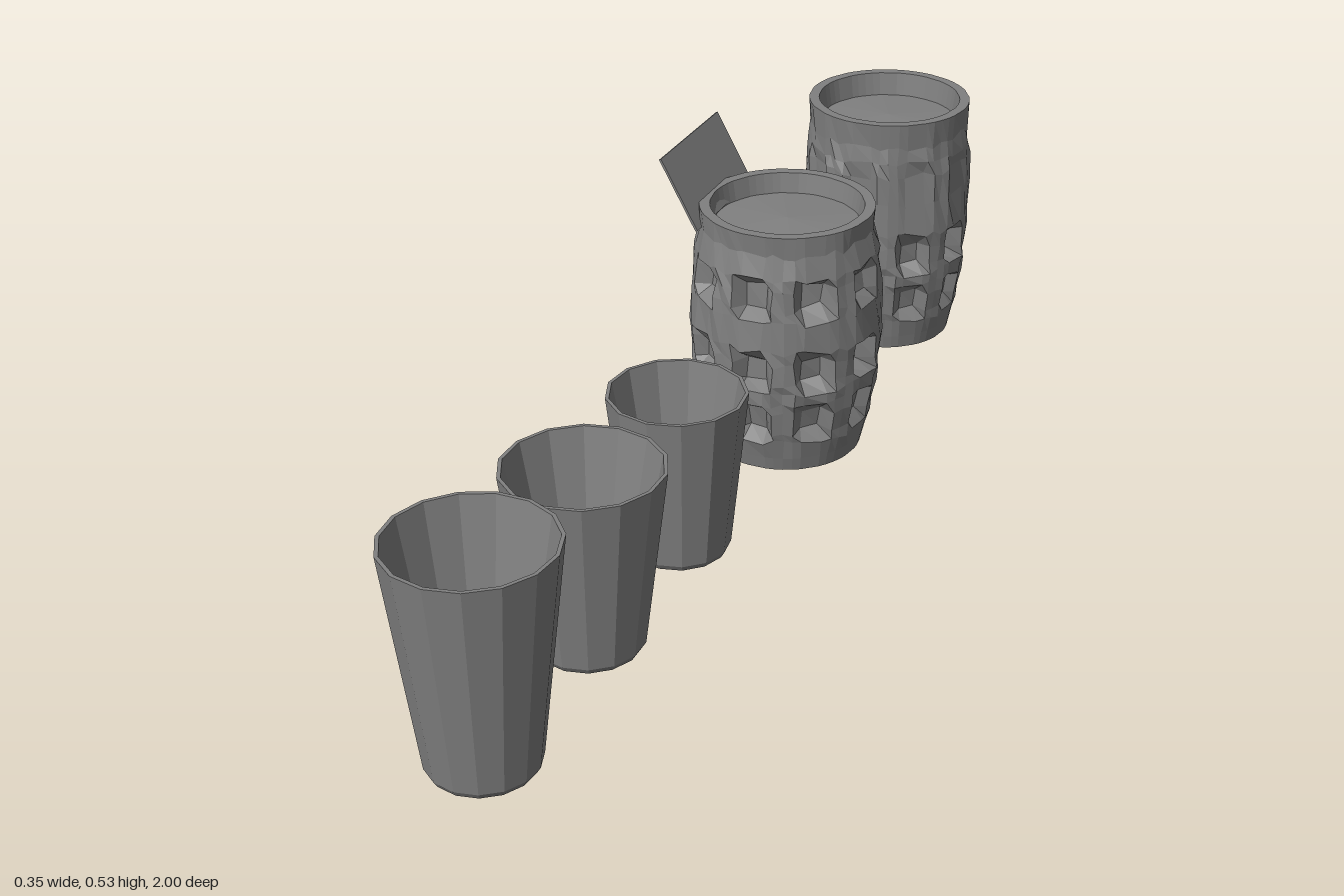
import * as THREE from 'three';

const glass = new THREE.MeshStandardMaterial({ color: 0x808080, flatShading: true });
glass.name = 'grey glass';
const card = new THREE.MeshStandardMaterial({ color: 0x808080, side: THREE.DoubleSide });
card.name = 'grey card';

// Repeatable noise from -0.5 to 0.5
const noise = (i, j) => {
  const s = Math.sin(i * 12.99 + j * 78.23 + 1.7) * 43758.55;
  return s - Math.floor(s) - 0.5;
};

function add(parent, name, geometry, material = glass) {
  const mesh = new THREE.Mesh(geometry, material);
  mesh.name = name;
  parent.add(mesh);
  return mesh;
}

const lathe = (points, sides) =>
  new THREE.LatheGeometry(points.map(([r, y]) => new THREE.Vector2(r, y)), sides);

// Tapered drinking cup with a thin rim and a small inner floor
function cup(name, x, z, height, top, base, sides) {
  const group = new THREE.Group();
  group.name = name;
  group.position.set(x, 0, z);
  const wall = lathe([
    [0, 0], [base * 0.93, 0], [base, 0.01], [top, height],
    [top - 0.006, height], [base * 0.72, 0.025], [0, 0.025],
  ], sides);
  add(group, 'cupWall', wall);
  return group;
}

// Barrel mug: rows are [radius, y, dimple depth] up the outside
function mug(name, x, z, rows, liquidY, handlePath) {
  const group = new THREE.Group();
  group.name = name;
  group.position.set(x, 0, z);

  const [rim, height] = rows[rows.length - 1];
  const underside = [[0, 0.025], [0.095, 0.025], [0.108, 0.0]];
  const inside = [[rim - 0.018, height], [rim - 0.026, liquidY - 0.01]];
  const panels = 9, step = [0, 0.17, 0.32, 0.68, 0.83], sides = panels * step.length;
  const body = lathe([...underside, ...rows, ...inside], sides);
  const count = underside.length + rows.length + inside.length;
  const p = body.attributes.position;

  // Press rows of uneven oval dimples into the outside
  for (let k = 0; k < p.count; k++) {
    const i = Math.floor(k / count) % sides, j = k % count;
    const panel = Math.floor(i / 5), part = i % 5;
    const row = rows[j - underside.length];
    let r = Math.hypot(p.getX(k), p.getZ(k)), y = p.getY(k);
    let angle = (panel + step[part] + 0.5) / panels * Math.PI * 2;
    if (row) {
      const middle = y > 0.04 && y < height - 0.02;
      if (row[2] && (part === 2 || part === 3)) r -= row[2] * (1 + 0.5 * noise(panel, Math.round(y * 10)));
      if (middle) {
        r += noise(i, j) * 0.006;
        y += noise(i + 50, j) * 0.012;
        angle += noise(i + 90, j) * 0.035;
      }
    }
    p.setXYZ(k, r * Math.sin(angle), y, r * Math.cos(angle));
  }
  body.computeVertexNormals();
  add(group, 'mugBody', body);

  // Drink surface just under the rim
  add(group, 'drinkSurface', lathe([[rim - 0.022, liquidY], [0.06, liquidY + 0.004], [0, liquidY + 0.008]], 14));

  // Round handle at the back
  const curve = new THREE.CatmullRomCurve3(handlePath.map(([y, back]) => new THREE.Vector3(0.003, y, back)));
  add(group, 'handle', new THREE.TubeGeometry(curve, 16, 0.027, 7));
  return group;
}

export function createModel() {
  const model = new THREE.Group();
  model.name = 'drinkware';

  model.add(cup('largeCup', -0.025, 0.873, 0.362, 0.127, 0.085, 15));
  model.add(cup('mediumCup', -0.02, 0.555, 0.305, 0.126, 0.088, 14));
  model.add(cup('smallCup', -0.008, 0.253, 0.28, 0.113, 0.084, 13));

  // Mug with three rows of dimples
  const dimpledMug = mug('dimpledMug', 0.012, -0.157, [
    [0.132, 0], [0.138, 0.025], [0.147, 0.06], [0.151, 0.077, 0.026], [0.156, 0.118, 0.022],
    [0.159, 0.135], [0.161, 0.16], [0.162, 0.175, 0.026], [0.163, 0.212, 0.024],
    [0.164, 0.235], [0.162, 0.29], [0.160, 0.31, 0.022], [0.157, 0.345, 0.022],
    [0.155, 0.365], [0.146, 0.405], [0.148, 0.44],
  ], 0.405, [
    [0.285, -0.13], [0.285, -0.205], [0.25, -0.258], [0.17, -0.282],
    [0.095, -0.258], [0.062, -0.205], [0.07, -0.13],
  ]);
  model.add(dimpledMug);

  // Tall mug with two rows of dimples and plain upper panels
  model.add(mug('tallMug', 0.018, -0.65, [
    [0.125, 0], [0.13, 0.025], [0.138, 0.06], [0.142, 0.077, 0.024], [0.146, 0.118, 0.022],
    [0.149, 0.135], [0.15, 0.16], [0.151, 0.175, 0.024], [0.152, 0.212, 0.022],
    [0.153, 0.24], [0.153, 0.3, 0.006], [0.152, 0.355, 0.008],
    [0.148, 0.38], [0.144, 0.41], [0.148, 0.457],
  ], 0.415, [
    [0.315, -0.12], [0.322, -0.22], [0.275, -0.295], [0.2, -0.322],
    [0.12, -0.295], [0.076, -0.22], [0.085, -0.12],
  ]));

  // Thin card leaning outward over the rim of the dimpled mug
  const leaning = new THREE.BoxGeometry(0.004, 0.135, 0.235);
  const plate = add(model, 'leaningCard', leaning, card);
  plate.position.set(-0.142, 0.467, -0.173);
  plate.rotation.z = 0.5;
  return model;
}
